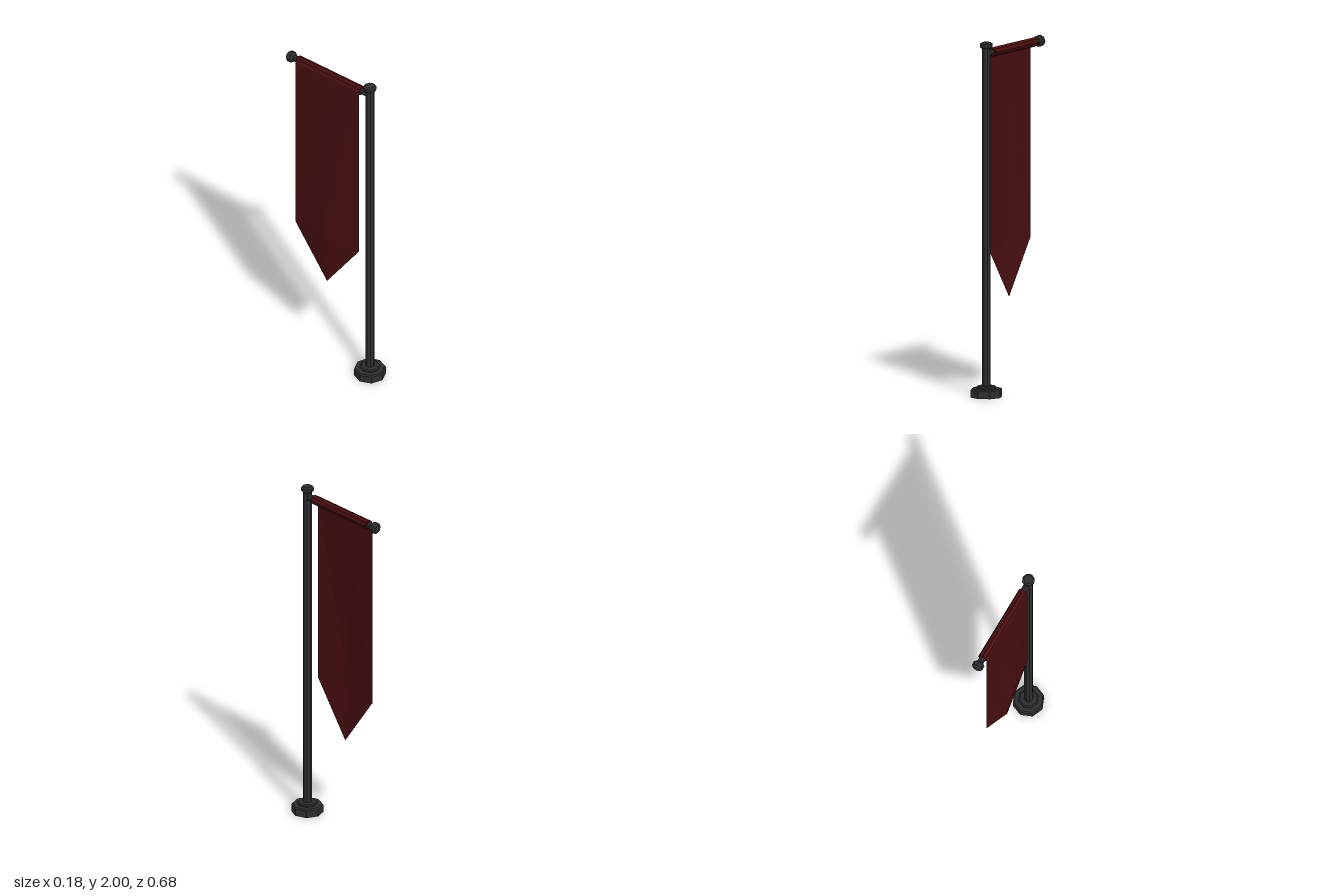
import * as THREE from 'three';

const POLE_Z = 0.248, BAR_Y = 1.937;

export function createModel() {
  const model = new THREE.Group();
  model.name = 'hangingBanner';
  const iron = new THREE.MeshStandardMaterial({ color: 0x2e2e2f, flatShading: true });
  iron.name = 'dark iron';
  const cloth = new THREE.MeshStandardMaterial({ color: 0x480e10, flatShading: true, side: THREE.DoubleSide });
  cloth.name = 'dark red cloth';

  const add = (name, geometry, material) => {
    const mesh = new THREE.Mesh(geometry, material);
    mesh.name = name;
    model.add(mesh);
    return mesh;
  };
  // Eight-sided turned part from [radius, height] pairs, listed bottom to top
  const turned = (profile) =>
    new THREE.LatheGeometry(profile.map(([r, y]) => new THREE.Vector2(r, y)), 8);

  // Upright: stepped foot with a hollow underside, pole and cap
  const base = add('base', turned([
    [0, 0.03], [0.062, 0.03], [0.068, 0], [0.09, 0], [0.09, 0.042], [0.083, 0.05],
    [0.057, 0.05], [0.057, 0.058], [0.05, 0.064], [0, 0.064],
  ]), iron);
  const pole = add('pole', turned([[0.025, 0.06], [0.025, 1.972]]), iron);
  const cap = add('poleCap', turned([
    [0, 1.965], [0.026, 1.965], [0.036, 1.973], [0.036, 1.992], [0.027, 2], [0, 2],
  ]), iron);
  for (const part of [base, pole, cap]) part.position.z = POLE_Z;

  // Parts lying along the crossbar; local +y points to the back (-z)
  const alongBar = (name, profile, material) => {
    const mesh = add(name, turned(profile), material);
    mesh.rotation.x = -Math.PI / 2;
    mesh.position.y = BAR_Y;
  };
  alongBar('crossbar', [[0.019, -POLE_Z], [0.019, 0.3]], iron);
  alongBar('crossbarKnob', [
    [0, 0.294], [0.021, 0.294], [0.033, 0.306], [0.033, 0.329], [0.021, 0.34], [0, 0.34],
  ], iron);
  alongBar('clothSleeve', [
    [0.019, -0.19], [0.027, -0.19], [0.027, 0.268], [0.019, 0.268],
  ], cloth);

  // Hanging cloth: pointed sheet bulging sideways around its lower middle
  const front = 0.19, back = -0.268, mid = -0.039, side = -0.027;
  const sheet = new THREE.BufferGeometry();
  sheet.setAttribute('position', new THREE.Float32BufferAttribute([
    side, BAR_Y, front, side, BAR_Y, mid, side, BAR_Y, back,
    side, 0.837, front, -0.053, 0.837, mid, side, 0.837, back,
    side, 0.527, mid,
  ], 3));
  sheet.setIndex([0, 3, 4, 0, 4, 1, 1, 4, 5, 1, 5, 2, 3, 6, 4, 4, 6, 5]);
  sheet.computeVertexNormals();
  add('bannerCloth', sheet, cloth);

  return model;
}
